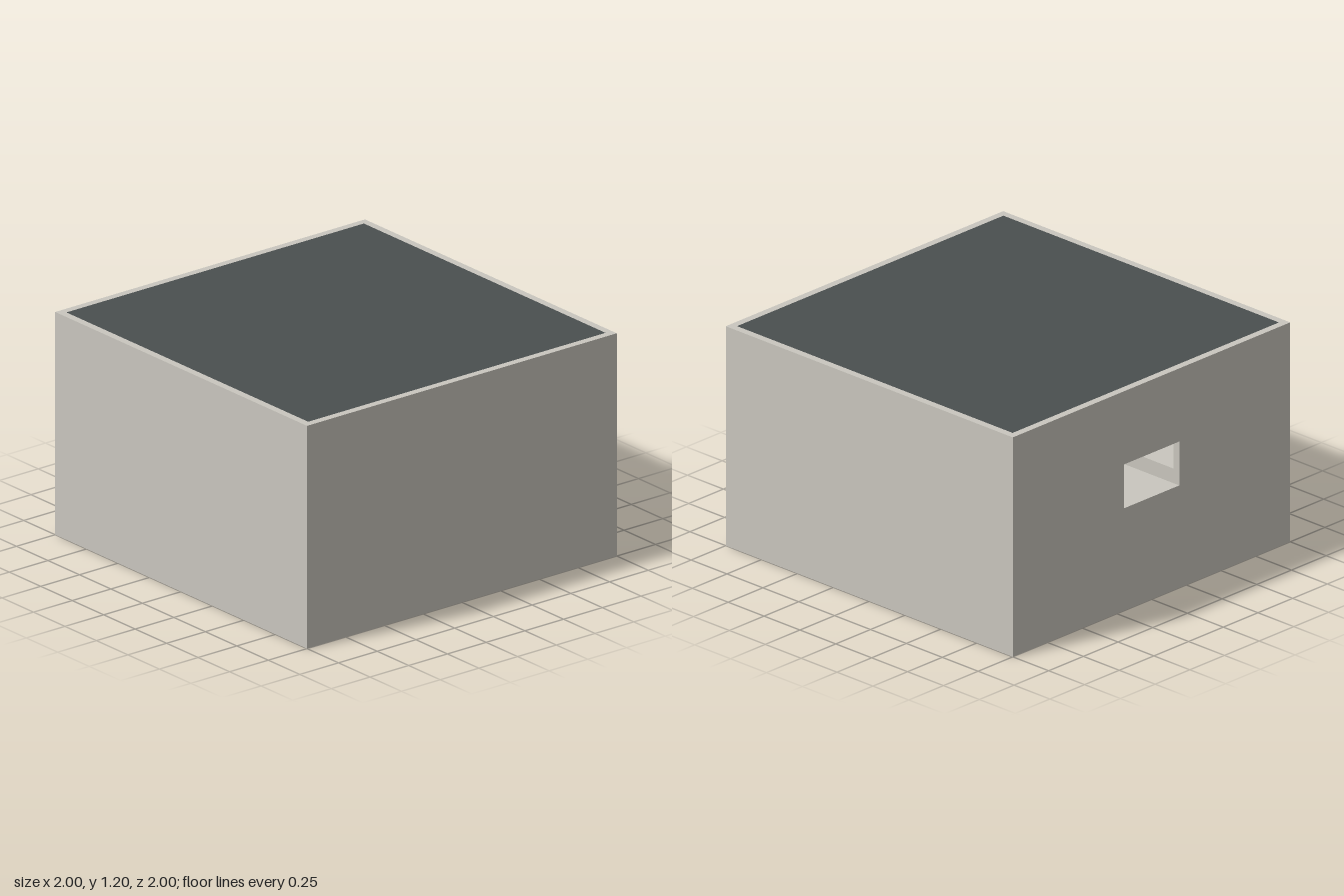
import * as THREE from 'three';

export function createModel() {
  const model = new THREE.Group();
  const concrete = new THREE.MeshStandardMaterial({ color: 0xc9c6be });
  concrete.name = 'pale concrete';
  const slate = new THREE.MeshStandardMaterial({ color: 0x4a4f50 });
  slate.name = 'dark slate';

  const H = 1.2, T = 0.04, IN = 2 - 2 * T; // height, wall thickness, inside width

  function add(name, geometry, material, x, y, z) {
    const mesh = new THREE.Mesh(geometry, material);
    mesh.name = name;
    mesh.position.set(x, y, z);
    model.add(mesh);
    return mesh;
  }
  const box = (name, w, h, d, x, y, z, material = concrete) =>
    add(name, new THREE.BoxGeometry(w, h, d), material, x, y, z);

  // Front, back and left walls
  box('frontWall', 2, H, T, 0, H / 2, 1 - T / 2);
  box('backWall', 2, H, T, 0, H / 2, -1 + T / 2);
  box('leftWall', T, H, IN, 1 - T / 2, H / 2, 0);

  // Right wall with its rectangular opening
  const outline = new THREE.Shape([
    new THREE.Vector2(-IN / 2, 0), new THREE.Vector2(IN / 2, 0),
    new THREE.Vector2(IN / 2, H), new THREE.Vector2(-IN / 2, H),
  ]);
  outline.holes.push(new THREE.Path([
    new THREE.Vector2(-0.2, 0.56), new THREE.Vector2(-0.2, 0.8),
    new THREE.Vector2(0.2, 0.8), new THREE.Vector2(0.2, 0.56),
  ]));
  const wall = new THREE.ExtrudeGeometry(outline, { depth: T, bevelEnabled: false });
  wall.rotateY(Math.PI / 2);
  add('rightWall', wall, concrete, -1, 0, 0);

  // Roof flush with the rim, floor raised above the wall feet
  box('roof', IN, T, IN, 0, H - T / 2, 0, slate);
  box('floor', IN, T, IN, 0, 1.5 * T, 0);

  // Inner channel level with the opening, and the raised deck on both sides
  box('channelBed', IN, T, 0.4, 0, 0.54, 0);
  for (const s of [-1, 1]) {
    box('deck', IN, 0.12, 0.76, 0, 0.58, s * 0.58);
  }
  return model;
}
